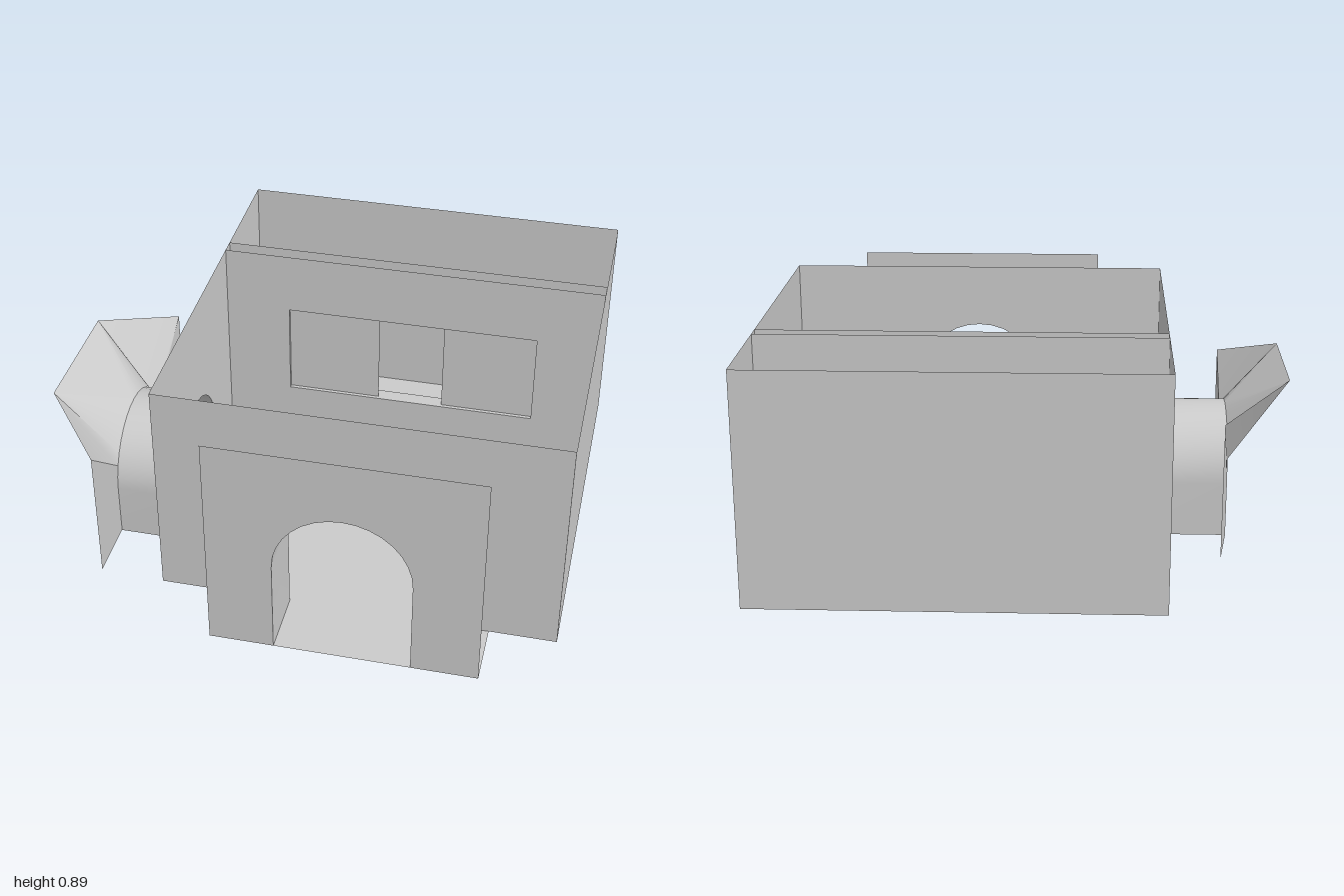
import * as THREE from 'three';

const material = new THREE.MeshStandardMaterial({ color: 0xcccccc, side: THREE.DoubleSide });
const R = 0.257; // arch radius
const SEG = 16;

// Arch outline from the right foot over the top to the left foot
function archPoints(centre, spring) {
  const pts = [[centre + R, 0]];
  for (let i = 0; i <= SEG; i++) {
    const a = (Math.PI * i) / SEG;
    pts.push([centre + R * Math.cos(a), spring + R * Math.sin(a)]);
  }
  pts.push([centre - R, 0]);
  return pts;
}

// Surface stretched between two matching rows of points
function loft(rowA, rowB) {
  const pos = [], index = [];
  rowA.forEach((p, i) => {
    pos.push(...p, ...rowB[i]);
    if (i) {
      const k = 2 * i;
      index.push(k - 2, k - 1, k, k, k - 1, k + 1);
    }
  });
  const geo = new THREE.BufferGeometry();
  geo.setAttribute('position', new THREE.Float32BufferAttribute(pos, 3));
  geo.setIndex(index);
  geo.computeVertexNormals();
  return geo;
}

function outline(points) {
  return new THREE.Shape(points.map(([x, y]) => new THREE.Vector2(x, y)));
}

// Flat sheet from a to b, with an optional arch cut from its foot
function sheet(a, b, height, arch = []) {
  return new THREE.ShapeGeometry(outline([[a, 0], [a, height], [b, height], [b, 0], ...arch]));
}

export function createModel() {
  const model = new THREE.Group();
  const add = (name, geometry, parent = model) => {
    const mesh = new THREE.Mesh(geometry, material);
    mesh.name = name;
    parent.add(mesh);
    return mesh;
  };

  const L = -0.525, Rt = 1, back = -0.89, front = 0.635, porch = 0.887, H = 0.89;
  const porchL = -0.265, porchR = 0.745;
  const frontArch = archPoints(0.237, 0.383);
  const sideArch = archPoints(0.125, 0.213);

  // Floor, including the strip under the front porch
  const floor = outline([[L, -back], [Rt, -back], [Rt, -front], [porchR, -front],
    [porchR, -porch], [porchL, -porch], [porchL, -front], [L, -front]]);
  add('floor', new THREE.ShapeGeometry(floor).rotateX(-Math.PI / 2));

  // Room walls, open at the top
  add('backWall', sheet(L, Rt, H).translate(0, 0, back));
  add('frontWall', sheet(L, Rt, H, frontArch).translate(0, 0, front));
  add('leftWall', sheet(back, front, H).rotateY(-Math.PI / 2).translate(Rt, 0, 0));
  add('rightWall', sheet(back, front, H, sideArch).rotateY(-Math.PI / 2).translate(L, 0, 0));

  // Front entrance: arched passage and facing wall
  add('frontPassage', loft(
    frontArch.map(([x, y]) => [x, y, front]),
    frontArch.map(([x, y]) => [x, y, porch])));
  add('frontFacing', sheet(porchL, porchR, H, frontArch).translate(0, 0, porch));

  // Side entrance: arched passage and a facing whose top flares outward
  const sideX = -0.775;
  const sideRow = sideArch.map(([z, y]) => [sideX, y, z]);
  add('sidePassage', loft(sideArch.map(([z, y]) => [L, y, z]), sideRow));
  const rim = [[sideX, 0.54, 0.625], [-1, 0.64, 0.382], [-1, 0.64, -0.132], [-0.74, 0.54, -0.38]];
  const inner = [sideRow[0]], outer = [[sideX, 0, 0.625]];
  const turns = [0, 2, SEG / 2, SEG - 2, SEG];
  rim.forEach((corner, c) => {
    for (let i = turns[c]; i <= turns[c + 1]; i++) {
      inner.push(sideRow[i + 1]);
      outer.push(corner);
    }
  });
  inner.push(sideRow[SEG + 2]);
  outer.push([-0.74, 0, -0.38]);
  add('sideFlaredFacing', loft(inner, outer));

  // Partition: two sheets joined by the reveal of a wide window
  const partition = new THREE.Group();
  partition.name = 'partition';
  model.add(partition);
  const near = -0.38, far = -0.44;
  const x0 = -0.265, x1 = 0.75, y0 = 0.255, y1 = 0.64;
  const corners = [[x0, y0], [x1, y0], [x1, y1], [x0, y1]];
  for (const [name, z] of [['partitionFront', near], ['partitionBack', far]]) {
    const shape = outline([[L, 0], [Rt, 0], [Rt, H], [L, H]]);
    shape.holes.push(outline(corners));
    add(name, new THREE.ShapeGeometry(shape).translate(0, 0, z), partition);
  }
  corners.forEach((p, i) => {
    const q = corners[(i + 1) % 4];
    add('windowReveal', loft([[...p, near], [...q, near]], [[...p, far], [...q, far]]), partition);
  });

  // Window panels, leaving a gap in the middle
  for (const [a, b] of [[x0, 0.11], [0.375, x1]]) {
    add('windowPanel', new THREE.PlaneGeometry(b - a, y1 - y0)
      .translate((a + b) / 2, (y0 + y1) / 2, -0.395), partition);
  }
  return model;
}
